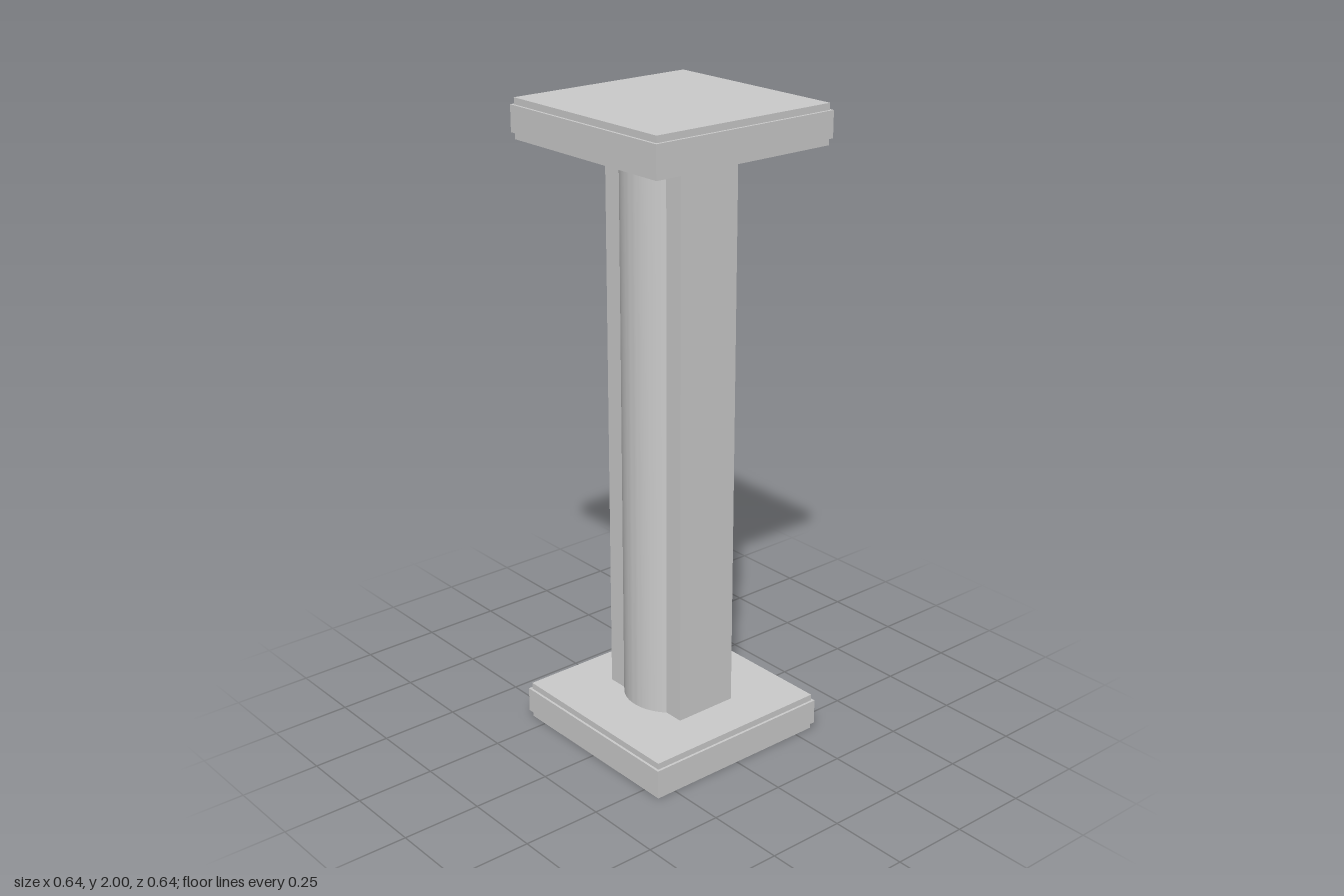
import * as THREE from 'three';
import { toCreasedNormals } from 'three/addons/utils/BufferGeometryUtils.js';

const HEIGHT = 2, PLATE = 0.12;

export function createModel() {
  const group = new THREE.Group();
  const material = new THREE.MeshStandardMaterial({ color: 0xcccccc });

  const add = (name, geometry, y, parent = group) => {
    const mesh = new THREE.Mesh(geometry, material);
    mesh.name = name;
    mesh.position.y = y;
    parent.add(mesh);
  };

  // Square end plates: a wide band between two slightly smaller slabs
  const makePlate = (name, y) => {
    const plate = new THREE.Group();
    plate.name = name;
    plate.position.y = y;
    add('lowerSlab', new THREE.BoxGeometry(0.628, 0.02, 0.628), 0.01, plate);
    add('band', new THREE.BoxGeometry(0.644, 0.08, 0.644), 0.06, plate);
    add('upperSlab', new THREE.BoxGeometry(0.628, 0.02, 0.628), 0.11, plate);
    group.add(plate);
  };
  makePlate('basePlate', 0);
  makePlate('topPlate', HEIGHT - PLATE);

  // Shaft: rectangular section with a round bulge on front and back
  const halfX = 0.168, halfZ = 0.105, radius = 0.148;
  const a = Math.asin(halfZ / radius);
  const section = new THREE.Shape();
  section.moveTo(halfX, -halfZ);
  section.lineTo(halfX, halfZ);
  section.absarc(0, 0, radius, a, Math.PI - a, false);
  section.lineTo(-halfX, halfZ);
  section.lineTo(-halfX, -halfZ);
  section.absarc(0, 0, radius, Math.PI + a, 2 * Math.PI - a, false);
  section.closePath();

  const shaft = new THREE.ExtrudeGeometry(section, {
    depth: HEIGHT - 2 * PLATE, bevelEnabled: false, curveSegments: 16,
  });
  shaft.rotateX(-Math.PI / 2);
  add('shaft', toCreasedNormals(shaft, Math.PI / 7), PLATE);

  return group;
}
